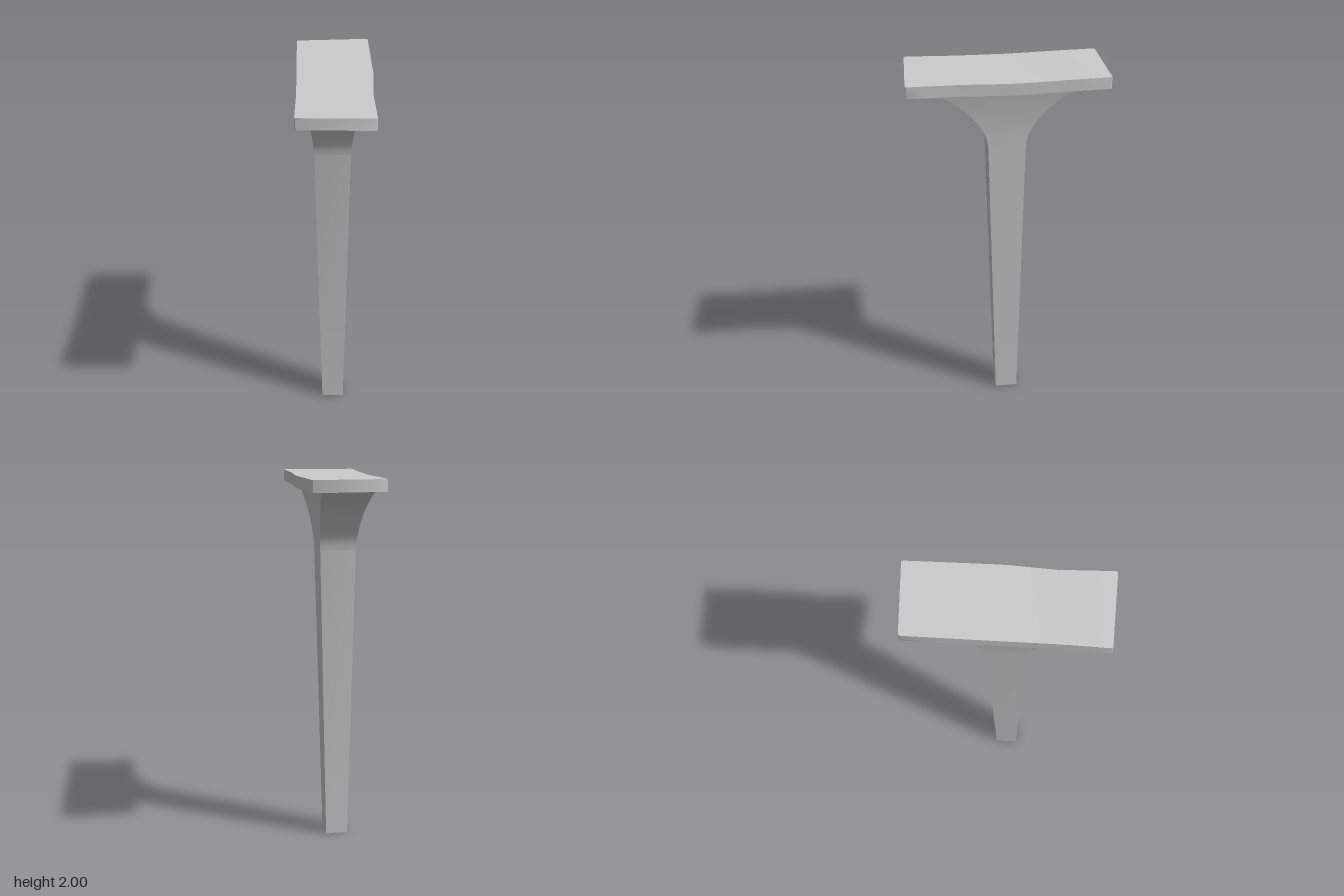
import * as THREE from 'three';
import { toCreasedNormals } from 'three/addons/utils/BufferGeometryUtils.js';

// Skin a list of four-cornered rings, each counter-clockwise seen from the far end, and cap both ends.
function loft(rings, crease) {
  const pos = [];
  const quad = (a, b, c, d) => [a, b, c, a, c, d].forEach((p) => pos.push(...p));
  for (let i = 0; i < rings.length - 1; i++) {
    for (let j = 0; j < 4; j++) {
      const k = (j + 1) % 4;
      quad(rings[i][j], rings[i][k], rings[i + 1][k], rings[i + 1][j]);
    }
  }
  const first = rings[0], last = rings[rings.length - 1];
  quad(first[3], first[2], first[1], first[0]);
  quad(last[0], last[1], last[2], last[3]);
  const geometry = new THREE.BufferGeometry();
  geometry.setAttribute('position', new THREE.Float32BufferAttribute(pos, 3));
  return toCreasedNormals(geometry, crease);
}

export function createModel() {
  const group = new THREE.Group();
  const material = new THREE.MeshStandardMaterial({ color: 0xcccccc });
  const add = (name, geometry) => {
    const mesh = new THREE.Mesh(geometry, material);
    mesh.name = name;
    group.add(mesh);
  };

  // Tapered leg: half depth and half width by height, flaring mostly front and back.
  const flare = new THREE.SplineCurve([
    [0.098, 1.6], [0.11, 1.655], [0.143, 1.72], [0.195, 1.79],
    [0.265, 1.855], [0.33, 1.9], [0.4, 1.936],
  ].map(([r, y]) => new THREE.Vector2(r, y)));
  const legRing = (y, w, d) => {
    const cx = -0.012, cz = -0.003;
    return [[-w, d], [w, d], [w, -d], [-w, -d]].map(([x, z]) => [cx + x, y, cz + z]);
  };
  const legRings = [legRing(0, 0.06, 0.061)];
  for (let i = 0; i <= 20; i++) {
    const p = flare.getPoint(i / 20);
    const t = (p.y - 1.6) / 0.336;
    legRings.push(legRing(p.y, 0.096 + 0.012 * t + 0.031 * t * t, p.x));
  }
  add('leg', loft(legRings, 0.4));

  // Worn top plate, lofted back to front: left z and x, right z and x, sag.
  const stations = [
    [-0.500, -0.184, -0.517, 0.186, 0],
    [-0.497, -0.189, -0.514, 0.191, 0],
    [-0.488, -0.192, -0.505, 0.193, 0],
    [-0.300, -0.192, -0.300, 0.196, 0.002],
    [-0.060, -0.192, -0.060, 0.200, 0.006],
    [0.000, -0.192, 0.000, 0.199, 0.006],
    [0.230, -0.193, 0.230, 0.186, 0.004],
    [0.400, -0.198, 0.400, 0.190, 0.001],
    [0.490, -0.201, 0.504, 0.192, 0],
    [0.497, -0.200, 0.511, 0.190, 0],
    [0.500, -0.196, 0.514, 0.184, 0],
  ];
  const plateRings = stations.map(([zl, xl, zr, xr, sag]) => {
    const top = 2 - sag, bottom = 1.937 - sag;
    return [[xl, bottom, zl], [xr, bottom, zr], [xr, top, zr], [xl, top, zl]];
  });
  add('topPlate', loft(plateRings, 0.6));

  return group;
}
